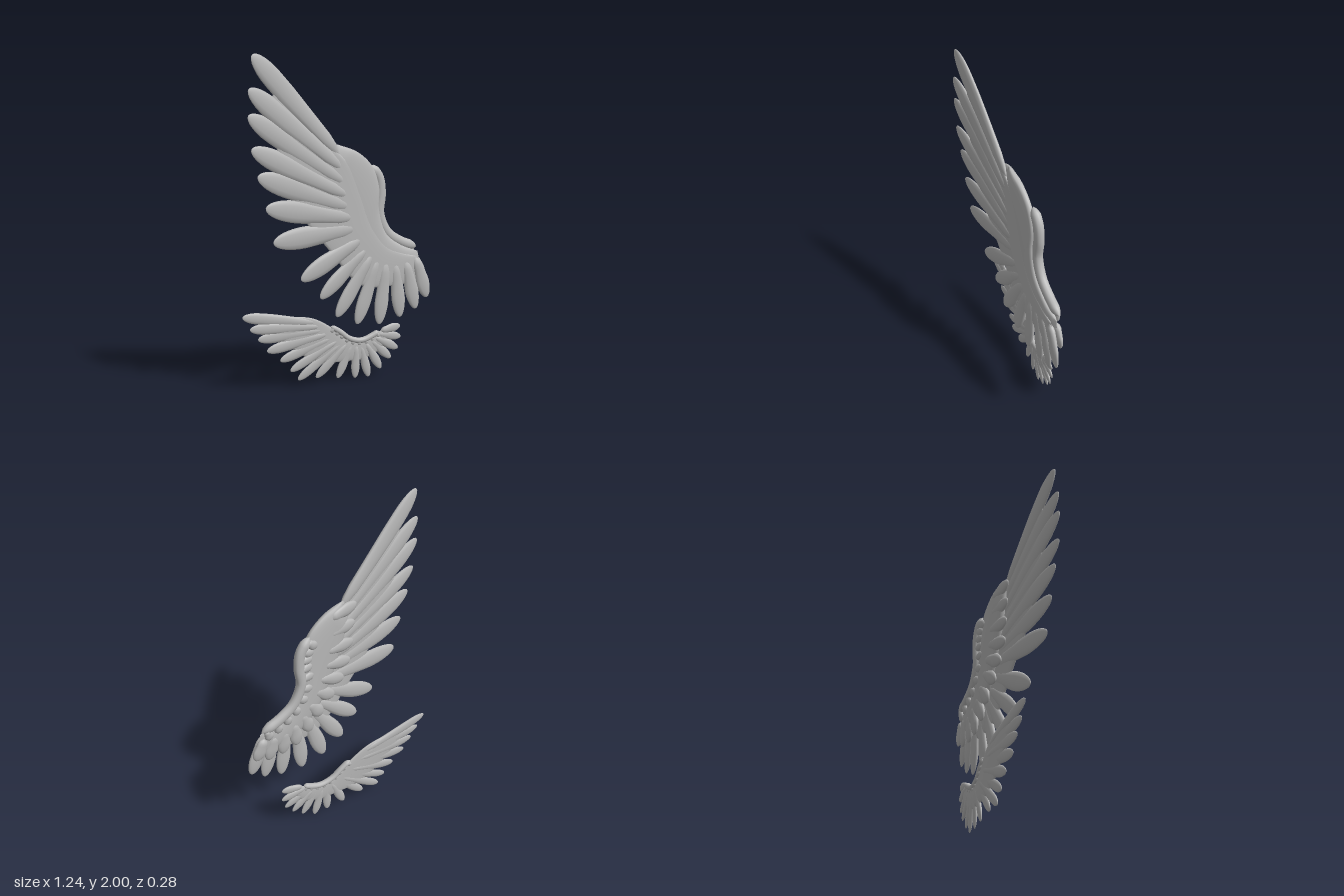
import * as THREE from 'three';

const grey = new THREE.MeshStandardMaterial({ color: 0xb8b8b8 });
grey.name = 'plain grey';

// Curved surfaces the two wings follow: depth z from x
const bigBend = x => 0.13 - 0.22 * (x + 0.6) + 0.076 * (x + 0.6) * (x + 0.1);
const smallBend = x => -0.122 + 0.09 * Math.min(0, x) ** 2;

const curve = pts => new THREE.CatmullRomCurve3(pts.map(p => new THREE.Vector3(p[0], p[1], 0)));

// Closed loft: section(s) gives two edge points and a half thickness
function loft(section, steps, sides, bend, offset, flatness) {
  const pos = [], idx = [];
  for (let i = 0; i <= steps; i++) {
    const { p, q, h } = section(i / steps);
    for (let j = 0; j < sides; j++) {
      const a = (j / sides) * Math.PI * 2, c = Math.cos(a), n = Math.sin(a);
      const x = (p.x + q.x) / 2 + (c * (p.x - q.x)) / 2;
      const y = (p.y + q.y) / 2 + (c * (p.y - q.y)) / 2;
      pos.push(x, y, bend(x) + offset + h * Math.sign(n) * Math.abs(n) ** flatness);
      if (i < steps) {
        const k = (j + 1) % sides, r = i * sides;
        idx.push(r + j, r + k, r + sides + j, r + k, r + sides + k, r + sides + j);
      }
    }
  }
  const g = new THREE.BufferGeometry();
  g.setAttribute('position', new THREE.Float32BufferAttribute(pos, 3));
  g.setIndex(idx);
  g.computeVertexNormals();
  return g;
}

function add(group, name, geometry) {
  const m = new THREE.Mesh(geometry, grey);
  m.name = name;
  group.add(m);
}

// Smooth skin between a leading edge and a trailing edge
function sheet(lead, trail, h, bend, offset) {
  const a = curve(lead), b = curve(trail);
  return loft(s => ({
    p: a.getPoint(s), q: b.getPoint(s), h: h * Math.sqrt(Math.min(1, 12 * s * (1 - s))),
  }), 40, 28, bend, offset, 0.6);
}

// Rounded feather from root to tip, widest past the middle
function feather(root, tip, width, h, bend, offset) {
  const dx = tip[0] - root[0], dy = tip[1] - root[1], len = Math.hypot(dx, dy);
  const round = Math.min(0.45, (width * 1.5) / len);
  return loft(t => {
    const s = Math.sin((t * Math.PI) / 2);
    const end = Math.sqrt(Math.max(0, 1 - Math.max(0, (s - 1 + round) / round) ** 2));
    const start = Math.min(1, s * 8);
    const w = (width / 2) * (0.6 + 0.4 * Math.min(1, s * 1.6)) * end * start;
    const x = root[0] + dx * s, y = root[1] + dy * s;
    const ox = (-dy / len) * w, oy = (dx / len) * w;
    return { p: { x: x + ox, y: y + oy }, q: { x: x - ox, y: y - oy }, h: h * end * start * (1 - 0.25 * s) };
  }, 16, 12, bend, offset, 1);
}

// Feathers whose roots are spread along a curve
function featherRow(group, name, rootLine, tips, width, h, bend, offset) {
  const roots = curve(rootLine);
  tips.forEach((tip, i) => {
    const r = roots.getPoint(i / (tips.length - 1));
    add(group, name, feather([r.x, r.y], tip, tip[2] || width, h, bend, offset + (i % 2) * 0.002));
  });
}

// Rounded band along a path
function band(path, width, h, bend, offset) {
  const c = curve(path);
  return loft(s => {
    const m = c.getPoint(s), t = c.getTangent(s);
    const e = Math.sqrt(Math.min(1, 14 * s * (1 - s)));
    const x = (-t.y * width * e) / 2, y = (t.x * width * e) / 2;
    return { p: { x: m.x + x, y: m.y + y }, q: { x: m.x - x, y: m.y - y }, h: h * e };
  }, 40, 14, bend, offset, 0.8);
}

// Short feathers hanging off one side of a band
function scallops(group, name, path, count, length, width, h, bend, offset) {
  const c = curve(path);
  for (let i = 0; i < count; i++) {
    const s = (i + 0.5) / count, m = c.getPointAt(s), t = c.getTangentAt(s);
    const tip = [m.x + t.y * length, m.y - t.x * length];
    add(group, name, feather([m.x, m.y], tip, width, h, bend, offset));
  }
}

function bigWing() {
  const g = new THREE.Group();
  g.name = 'largeWing';
  // Flight feathers and the skin joining them
  add(g, 'flightSkin', sheet(
    [[-0.04, 1.46], [0.05, 1.36], [0.12, 1.2], [0.2, 1.0], [0.3, 0.87], [0.4, 0.82], [0.53, 0.78]],
    [[-0.46, 1.84], [-0.46, 1.62], [-0.42, 1.42], [-0.3, 1.13], [-0.1, 0.88], [0.12, 0.64], [0.32, 0.61], [0.57, 0.62]],
    0.014, bigBend, 0));
  featherRow(g, 'flightFeather',
    [[-0.02, 1.43], [0.03, 1.26], [0.06, 1.12], [0.1, 1.0], [0.17, 0.88], [0.24, 0.81], [0.36, 0.77], [0.51, 0.78]],
    [[-0.58, 2, 0.12], [-0.605, 1.82, 0.12], [-0.61, 1.68, 0.12], [-0.595, 1.5, 0.12], [-0.56, 1.35, 0.13],
      [-0.515, 1.17, 0.13], [-0.47, 0.97, 0.13], [-0.295, 0.73, 0.115], [-0.165, 0.6, 0.1], [-0.055, 0.47],
      [0.09, 0.4], [0.25, 0.375], [0.405, 0.4], [0.52, 0.44], [0.605, 0.505]],
    0.1, 0.022, bigBend, 0);
  // Covert layer behind them
  add(g, 'covertSkin', sheet(
    [[-0.04, 1.505], [0.1, 1.455], [0.2, 1.37], [0.25, 1.24], [0.25, 1.1], [0.3, 0.95], [0.4, 0.87], [0.54, 0.81]],
    [[-0.08, 1.43], [-0.04, 1.25], [0.02, 1.08], [0.08, 0.95], [0.15, 0.83], [0.26, 0.73], [0.4, 0.68], [0.58, 0.66]],
    0.03, bigBend, -0.022));
  featherRow(g, 'covertFeather',
    [[0.06, 1.43], [0.1, 1.2], [0.16, 1.02], [0.25, 0.87], [0.37, 0.79], [0.52, 0.78]],
    [[-0.13, 1.46], [-0.12, 1.34], [-0.11, 1.21], [-0.09, 1.08], [-0.04, 0.97], [0.03, 0.87], [0.12, 0.77],
      [0.2, 0.68], [0.3, 0.62], [0.4, 0.6], [0.5, 0.6], [0.58, 0.63]],
    0.09, 0.022, bigBend, -0.035);
  // Rolled leading edge with small feathers
  const edge = [[0.2, 1.37], [0.26, 1.29], [0.275, 1.19], [0.265, 1.07], [0.32, 0.95], [0.42, 0.88], [0.54, 0.835]];
  add(g, 'leadingEdge', band(edge, 0.066, 0.028, bigBend, -0.04));
  scallops(g, 'edgeFeather', edge, 11, 0.085, 0.06, 0.018, bigBend, -0.046);
  return g;
}

function smallWing() {
  const g = new THREE.Group();
  g.name = 'smallWing';
  // Flight feathers and the skin joining them
  add(g, 'flightSkin', sheet(
    [[-0.45, 0.475], [-0.17, 0.44], [-0.03, 0.36], [0.08, 0.27], [0.17, 0.255], [0.26, 0.285], [0.36, 0.325]],
    [[-0.46, 0.42], [-0.34, 0.3], [-0.2, 0.19], [-0.08, 0.14], [0.06, 0.13], [0.18, 0.13], [0.3, 0.18], [0.37, 0.27]],
    0.011, smallBend, 0));
  featherRow(g, 'flightFeather',
    [[-0.12, 0.4], [-0.06, 0.34], [0.02, 0.28], [0.09, 0.25], [0.16, 0.235], [0.24, 0.26], [0.3, 0.3]],
    [[-0.61, 0.5, 0.07], [-0.565, 0.42, 0.07], [-0.515, 0.35, 0.07], [-0.46, 0.27, 0.07], [-0.375, 0.195, 0.065],
      [-0.31, 0.12], [-0.26, 0.055], [-0.14, 0.05], [0.005, 0.025], [0.125, 0.01], [0.22, 0.005],
      [0.305, 0.05], [0.375, 0.11], [0.425, 0.17], [0.445, 0.245], [0.44, 0.32]],
    0.06, 0.014, smallBend, 0);
  // Rolled leading edge with small feathers
  const edge = [[-0.04, 0.37], [0.02, 0.33], [0.09, 0.275], [0.17, 0.255], [0.24, 0.275], [0.29, 0.3]];
  add(g, 'leadingEdge', band(edge, 0.035, 0.018, smallBend, 0));
  scallops(g, 'edgeFeather', edge, 9, 0.035, 0.035, 0.016, smallBend, 0);
  return g;
}

export function createModel() {
  const model = new THREE.Group();
  model.name = 'wings';
  model.add(bigWing(), smallWing());
  return model;
}
